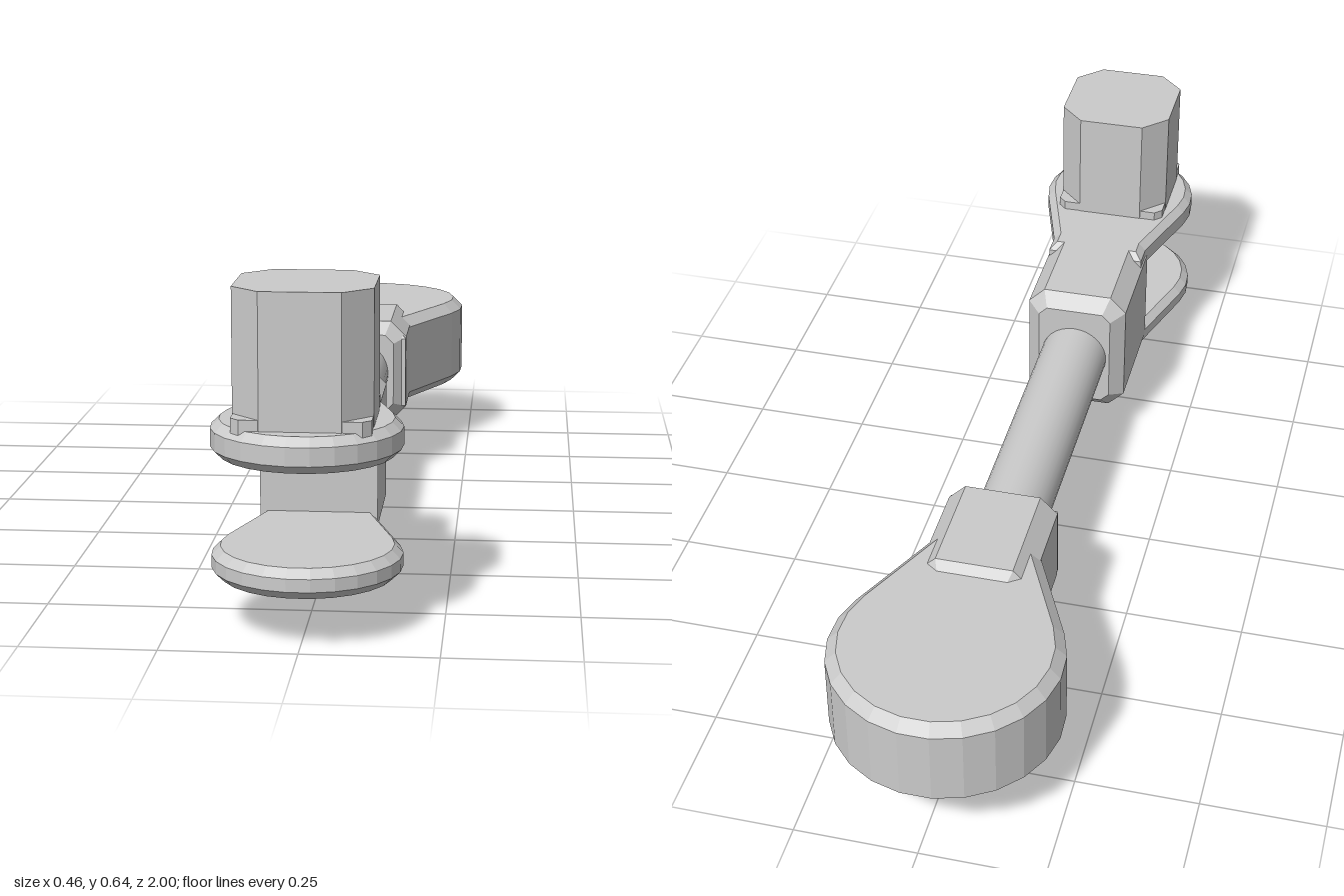
import * as THREE from 'three';

const flat = new THREE.MeshStandardMaterial({ color: 0xcccccc, flatShading: true });
const smooth = new THREE.MeshStandardMaterial({ color: 0xcccccc });

// Rectangle with cut corners, counter-clockwise
function octagon(hw, hh, c) {
  return [[hw, -hh + c], [hw, hh - c], [hw - c, hh], [-hw + c, hh],
    [-hw, hh - c], [-hw, -hh + c], [-hw + c, -hh], [hw - c, -hh]]
    .map(([x, y]) => new THREE.Vector2(x, y));
}

// Octagonal block along z; each ring is [z, inset]
function blockGeometry(hw, y0, y1, c, rings) {
  const cy = (y0 + y1) / 2, hh = (y1 - y0) / 2, pos = [];
  const loops = rings.map(([z, d]) =>
    octagon(hw - d, hh - d, c - 0.586 * d).map(p => [p.x, p.y + cy, z]));
  const tri = (a, b, d) => pos.push(...a, ...b, ...d);
  for (let r = 0; r < loops.length - 1; r++) {
    const a = loops[r], b = loops[r + 1];
    for (let i = 0; i < 8; i++) {
      const j = (i + 1) % 8;
      tri(a[i], a[j], b[j]);
      tri(a[i], b[j], b[i]);
    }
  }
  const first = loops[0], last = loops[loops.length - 1];
  for (let i = 1; i < 7; i++) {
    tri(first[0], first[i + 1], first[i]);
    tri(last[0], last[i], last[i + 1]);
  }
  const g = new THREE.BufferGeometry();
  g.setAttribute('position', new THREE.Float32BufferAttribute(pos, 3));
  g.computeVertexNormals();
  return g;
}

// Teardrop paddle: straight neck, tangent flare, round end; lies flat, pointing to -z
function paddleGeometry(w, start, neck, centre, r, y0, y1, bevel) {
  const dist = Math.hypot(w, centre - neck);
  const a0 = Math.atan2(neck - centre, w) + Math.acos(r / dist);
  const pts = [[-w, start], [w, start], [w, neck]];
  const n = 15;
  for (let i = 0; i <= n; i++) {
    const a = a0 + (Math.PI - 2 * a0) * i / n;
    pts.push([r * Math.cos(a), centre + r * Math.sin(a)]);
  }
  pts.push([-w, neck]);
  const g = new THREE.ExtrudeGeometry(new THREE.Shape(pts.map(p => new THREE.Vector2(...p))), {
    depth: y1 - y0 - 2 * bevel, bevelThickness: bevel, bevelSize: bevel,
    bevelOffset: -bevel, bevelSegments: 1,
  });
  return g.rotateX(-Math.PI / 2).translate(0, y0 + bevel, 0);
}

// Upright octagonal prism
function prismGeometry(hw, c, y0, y1, z) {
  return new THREE.ExtrudeGeometry(new THREE.Shape(octagon(hw, hw, c)), { depth: y1 - y0, bevelEnabled: false })
    .rotateX(-Math.PI / 2).translate(0, y0, z);
}

// Side profile given as [z, y], extruded across x
function sideGeometry(points, width, hole) {
  const toVec = ([z, y]) => new THREE.Vector2(-z, y);
  const shape = new THREE.Shape(points.map(toVec));
  if (hole) shape.holes.push(new THREE.Path(hole.map(toVec)));
  return new THREE.ExtrudeGeometry(shape, { depth: width, bevelEnabled: false })
    .translate(0, 0, -width / 2).rotateY(Math.PI / 2);
}

export function createModel() {
  const group = new THREE.Group();
  const add = (name, geometry, material = flat) => {
    const mesh = new THREE.Mesh(geometry, material);
    mesh.name = name;
    group.add(mesh);
    return mesh;
  };

  // Shaft between the two ends
  add('shaft', new THREE.CylinderGeometry(0.075, 0.075, 0.66, 32)
    .rotateX(Math.PI / 2).translate(0, 0.236, 0.015), smooth);

  // Fork end: block with two rounded plates
  add('forkBlock', blockGeometry(0.113, 0.088, 0.388, 0.036, [[0.325, 0.03], [0.355, 0], [0.605, 0]]));
  for (const [name, y0, y1] of [['upperForkPlate', 0.322, 0.388], ['lowerForkPlate', 0.096, 0.152]]) {
    add(name, paddleGeometry(0.11, 0.54, 0.59, 0.825, 0.175, y0, y1, 0.016).rotateY(Math.PI));
  }

  // Post on the upper plate
  add('postBase', prismGeometry(0.125, 0.016, 0.38, 0.408, 0.825));
  add('post', prismGeometry(0.126, 0.053, 0.385, 0.636, 0.825));

  // Rear head with its collar
  add('head', paddleGeometry(0.114, 0.32, 0.47, 0.769, 0.231, 0.136, 0.338, 0.022));
  add('collar', blockGeometry(0.115, 0.119, 0.355, 0.036,
    [[-0.59, 0.03], [-0.56, 0], [-0.33, 0], [-0.302, 0.028]]));

  // Lever under the collar
  add('leverMount', new THREE.BoxGeometry(0.07, 0.02, 0.045).translate(0, 0.116, -0.525));
  add('lever', sideGeometry([[-0.51, 0.115], [-0.525, 0.115], [-0.632, 0.016], [-0.76, 0.014],
    [-0.76, 0.004], [-0.626, 0.005]], 0.05));
  add('leverCurl', sideGeometry(
    [[-0.75, 0.003], [-0.755, 0], [-0.785, 0], [-0.792, 0.005], [-0.792, 0.014], [-0.785, 0.019], [-0.755, 0.019], [-0.75, 0.016]],
    0.058, [[-0.757, 0.006], [-0.757, 0.013], [-0.785, 0.013], [-0.785, 0.006]]));

  return group;
}
